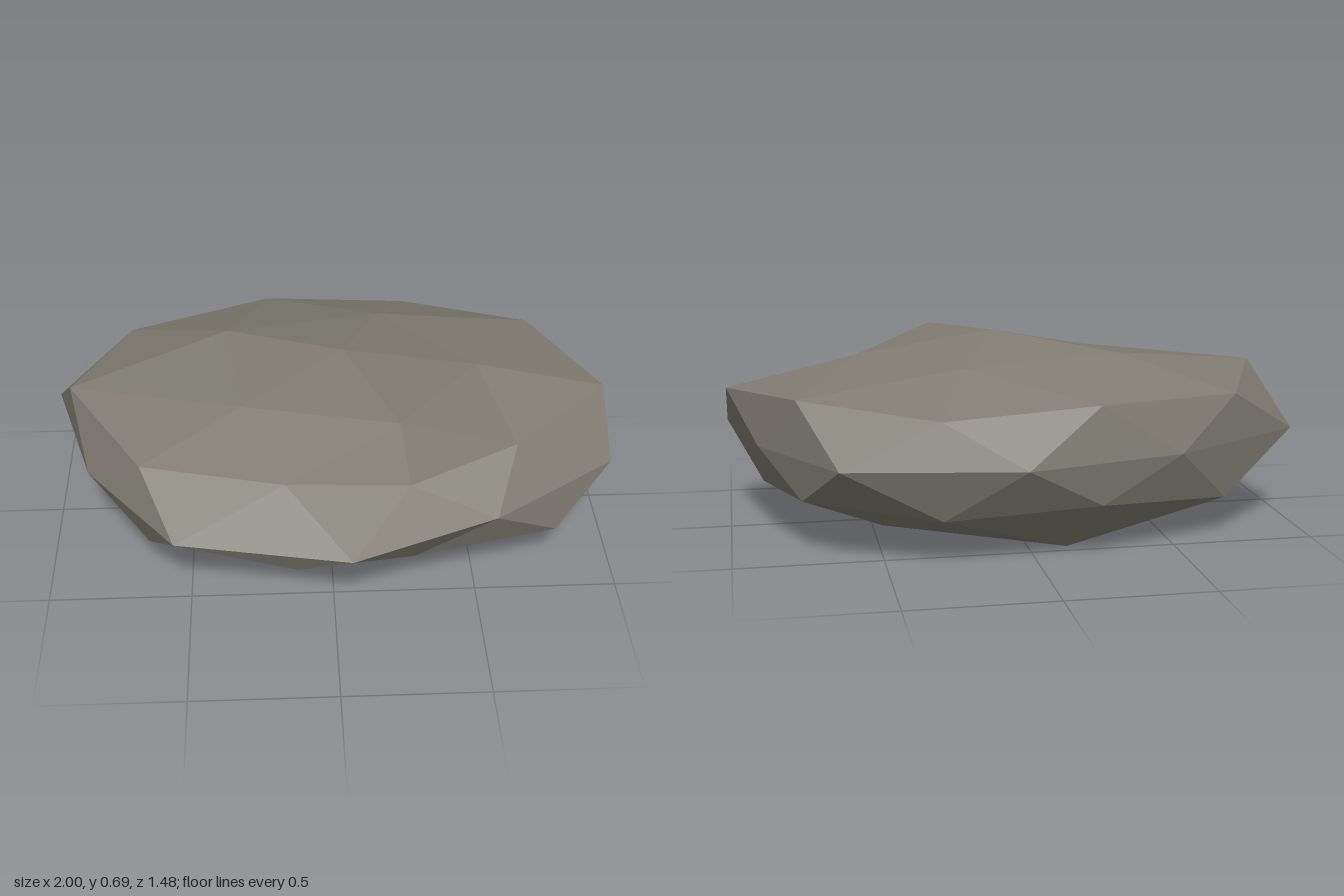
import * as THREE from 'three';

// Each ring of the boulder: latitude direction (horizontal, height), first angle, step, and radius per vertex
const H1 = 0.8944, V1 = 0.4472, H2 = 0.8507, V2 = 0.5257;
const RINGS = {
  top: [0, 1, 0, 72, [0.99]],
  upperInner: [V2, H2, 0, 72, [0.91, 1.06, 0.85, 0.97, 0.915]],
  upper: [H1, V1, 0, 72, [1.059, 0.75, 0.98, 1.08, 0.966]],
  upperEdge: [H2, V2, 36, 72, [0.855, 0.825, 1.143, 1.0, 1.05]],
  equator: [1, 0, 18, 36, [0.996, 0.86, 0.963, 1.01, 0.955, 1.107, 0.94, 0.953, 1.02, 0.89]],
  lowerEdge: [H2, -V2, 0, 72, [0.972, 0.86, 1.01, 1.1, 1.0]],
  lower: [H1, -V1, 36, 72, [1.015, 0.77, 0.92, 0.97, 0.98]],
  lowerInner: [V2, -H2, 36, 72, [0.8, 1.07, 0.895, 1.155, 1.0]],
  bottom: [0, -1, 0, 72, [0.915]],
};
const SCALE = new THREE.Vector3(1, 0.35, 0.77);
const CENTRE = new THREE.Vector3(0.053, 0.345, -0.006);

// Vertex i of a ring, wrapping around
function point(name, i) {
  const [h, v, start, step, radii] = RINGS[name];
  const n = radii.length;
  const k = ((i % n) + n) % n;
  const a = THREE.MathUtils.degToRad(start + step * k);
  return new THREE.Vector3(h * Math.cos(a), v, h * Math.sin(a))
    .multiplyScalar(radii[k]).multiply(SCALE).add(CENTRE);
}

export function createModel() {
  const group = new THREE.Group();
  group.name = 'boulder';
  const stone = new THREE.MeshStandardMaterial({ color: 0x7f7b72, flatShading: true });
  stone.name = 'greyStone';

  const corners = [];
  // One large facet with corners a, b, c and edge points ab, bc, ca, split in four
  const facet = (a, b, c, ab, bc, ca) => {
    for (const p of [a, ab, ca, ab, b, bc, ca, bc, c, ab, bc, ca]) {
      const q = point(p[0], p[1]);
      corners.push(q.x, q.y, q.z);
    }
  };

  for (let k = 0; k < 5; k++) {
    // crown
    facet(['top', 0], ['upper', k + 1], ['upper', k],
      ['upperInner', k + 1], ['upperEdge', k], ['upperInner', k]);
    // sides, pointing down then pointing up
    facet(['upper', k], ['upper', k + 1], ['lower', k],
      ['upperEdge', k], ['equator', 2 * k + 1], ['equator', 2 * k]);
    facet(['upper', k], ['lower', k], ['lower', k - 1],
      ['equator', 2 * k], ['lowerEdge', k], ['equator', 2 * k - 1]);
    // underside
    facet(['bottom', 0], ['lower', k - 1], ['lower', k],
      ['lowerInner', k - 1], ['lowerEdge', k], ['lowerInner', k]);
  }

  const geometry = new THREE.BufferGeometry();
  geometry.setAttribute('position', new THREE.Float32BufferAttribute(corners, 3));
  geometry.computeVertexNormals();
  const rock = new THREE.Mesh(geometry, stone);
  rock.name = 'rock';
  group.add(rock);
  return group;
}
